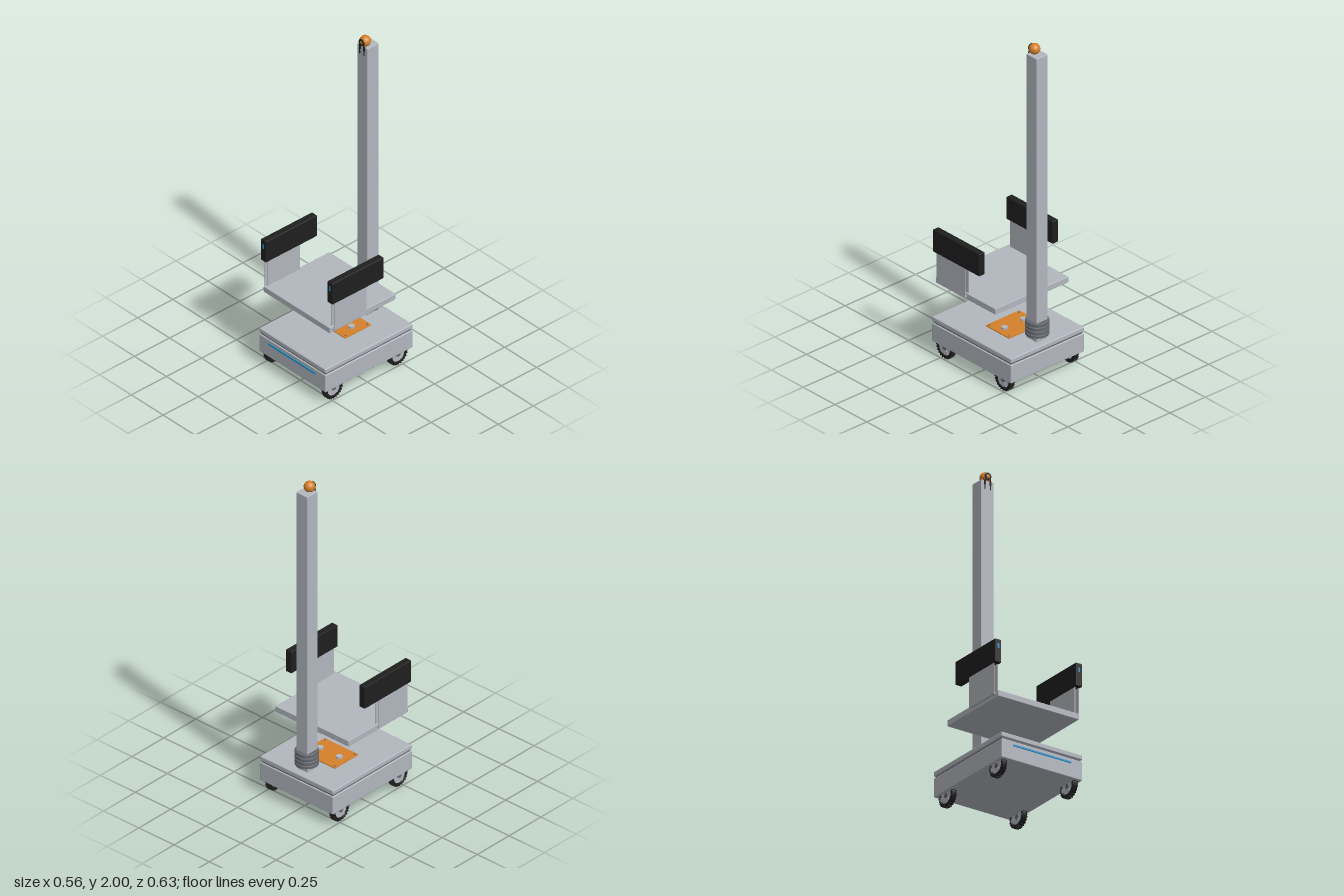
import * as THREE from 'three';
import { RoundedBoxGeometry } from 'three/addons/geometries/RoundedBoxGeometry.js';

const mat = (name, color, extra = {}) => {
  const m = new THREE.MeshStandardMaterial({ color, ...extra });
  m.name = name;
  return m;
};

export function createModel() {
  const model = new THREE.Group();
  model.name = 'serviceCart';
  const grey = mat('lightGrey', 0xb2b6be);
  const dark = mat('darkGrey', 0x63676d);
  const black = mat('black', 0x1f1f1f);
  const orange = mat('orange', 0xd4802a);
  const blue = mat('blue', 0x1496d6);

  const add = (name, geometry, material, x, y, z, parent = model) => {
    const mesh = new THREE.Mesh(geometry, material);
    mesh.name = name;
    mesh.position.set(x, y, z);
    parent.add(mesh);
    return mesh;
  };
  // box given by its extents on each axis, with optional rounded edges
  const block = (name, [x0, x1], [y0, y1], [z0, z1], material, r = 0, parent = model) => {
    const s = [x1 - x0, y1 - y0, z1 - z0];
    const g = r ? new RoundedBoxGeometry(...s, 2, r) : new THREE.BoxGeometry(...s);
    return add(name, g, material, (x0 + x1) / 2, (y0 + y1) / 2, (z0 + z1) / 2, parent);
  };

  // Wheeled base: body, shadow gap and lid
  block('baseBody', [-0.26, 0.26], [0.08, 0.192], [-0.315, 0.308], grey, 0.006);
  block('baseGap', [-0.253, 0.253], [0.19, 0.204], [-0.308, 0.301], dark);
  block('baseLid', [-0.26, 0.26], [0.201, 0.23], [-0.315, 0.308], grey, 0.006);
  block('lightStrip', [-0.185, 0.185], [0.162, 0.171], [0.306, 0.313], blue);

  // Service plate with two bolts
  block('servicePlate', [-0.12, 0.12], [0.229, 0.235], [-0.145, 0.04], orange);
  for (const x of [-0.068, 0.068]) {
    add('plateBolt', new THREE.CylinderGeometry(0.018, 0.018, 0.012, 24), grey, x, 0.24, -0.052);
  }
  for (const x of [-0.105, 0.105]) for (const z of [-0.13, 0.025]) {
    add('plateScrew', new THREE.CylinderGeometry(0.005, 0.005, 0.003, 12), dark, x, 0.236, z);
  }

  // Wheels: tyre profile turned about the axle, tread lugs and a spoked hub
  const tyreProfile = [[0.044, -0.013], [0.056, -0.0155], [0.061, -0.011], [0.062, 0],
    [0.061, 0.011], [0.056, 0.0155], [0.044, 0.013], [0.044, -0.013]]
    .map(([r, h]) => new THREE.Vector2(r, h));
  const tyreGeo = new THREE.LatheGeometry(tyreProfile, 40).rotateZ(Math.PI / 2);
  const lugGeo = new THREE.BoxGeometry(0.026, 0.006, 0.008);
  const hubGeo = new THREE.CylinderGeometry(0.045, 0.045, 0.02, 32).rotateZ(Math.PI / 2);
  const capGeo = new THREE.CylinderGeometry(0.014, 0.014, 0.028, 20).rotateZ(Math.PI / 2);
  const spokeGeo = new THREE.BoxGeometry(0.025, 0.04, 0.007);
  for (const x of [-0.228, 0.228]) for (const z of [-0.23, 0.23]) {
    const wheel = new THREE.Group();
    wheel.name = 'wheel';
    wheel.position.set(x, 0.065, z);
    model.add(wheel);
    add('tyre', tyreGeo, black, 0, 0, 0, wheel);
    add('hub', hubGeo, grey, 0, 0, 0, wheel);
    add('hubCap', capGeo, dark, 0, 0, 0, wheel);
    for (let i = 0; i < 24; i++) {
      const a = (i / 24) * Math.PI * 2;
      const lug = add('treadLug', lugGeo, black, 0, Math.cos(a) * 0.062, Math.sin(a) * 0.062, wheel);
      lug.rotation.x = a;
    }
    for (let i = 0; i < 5; i++) {
      const a = (i / 5) * Math.PI * 2;
      const spoke = add('spoke', spokeGeo, grey, 0, Math.cos(a) * 0.025, Math.sin(a) * 0.025, wheel);
      spoke.rotation.x = a;
    }
  }

  // Mast with a ribbed collar around its foot
  block('mast', [-0.04, 0.04], [0.23, 1.945], [-0.273, -0.191], grey, 0.004);
  const ribs = [new THREE.Vector2(0.0, 0.255)];
  for (let i = 0; i < 4; i++) {
    const y = 0.255 + i * 0.0235;
    ribs.push(new THREE.Vector2(0.058, y), new THREE.Vector2(0.064, y + 0.003),
      new THREE.Vector2(0.064, y + 0.016), new THREE.Vector2(0.058, y + 0.019));
  }
  ribs.push(new THREE.Vector2(0, 0.3445));
  const collarGeo = new THREE.LatheGeometry(ribs, 40).toNonIndexed();
  collarGeo.computeVertexNormals();
  add('ribbedCollar', collarGeo, dark, 0, 0, -0.233);
  for (const x of [-0.017, 0.017]) {
    block('mastFootRod', [x - 0.004, x + 0.004], [0.23, 0.256], [-0.195, -0.187], black);
  }

  // Camera ball on the mast, with lens and two hanging leads
  add('cameraBall', new THREE.SphereGeometry(0.031, 32, 20), orange, 0, 1.969, -0.212);
  add('lens', new THREE.CylinderGeometry(0.02, 0.02, 0.008, 28).rotateX(Math.PI / 2), black, 0, 1.969, -0.187);
  for (const x of [-0.017, 0.017]) {
    const path = new THREE.CatmullRomCurve3([
      new THREE.Vector3(x * 0.8, 1.965, -0.186), new THREE.Vector3(x, 1.94, -0.187),
      new THREE.Vector3(x, 1.892, -0.188)]);
    add('lead', new THREE.TubeGeometry(path, 12, 0.003, 8), black, 0, 0, 0);
    block('leadPlug', [x - 0.005, x + 0.005], [1.92, 1.945], [-0.192, -0.186], black);
  }

  // Tray carried by the mast
  block('tray', [-0.26, 0.26], [0.447, 0.483], [-0.192, 0.277], grey, 0.004);

  // Side arms: two thin sheets carrying a padded rest with a blue marker
  for (const s of [-1, 1]) {
    const arm = new THREE.Group();
    arm.name = s > 0 ? 'leftArm' : 'rightArm';
    model.add(arm);
    const span = (a, b) => (s > 0 ? [a, b] : [-b, -a]);
    block('outerSheet', span(0.27, 0.275), [0.467, 0.65], [0.03, 0.256], grey, 0, arm);
    block('innerSheet', span(0.247, 0.252), [0.48, 0.65], [0.03, 0.256], grey, 0, arm);
    block('sheetFoot', span(0.258, 0.275), [0.465, 0.471], [0.03, 0.256], grey, 0, arm);
    block('armRest', span(0.241, 0.281), [0.643, 0.777], [-0.088, 0.277], black, 0.004, arm);
    block('armMarker', span(0.256, 0.266), [0.724, 0.752], [0.274, 0.279], blue, 0, arm);
  }
  return model;
}
